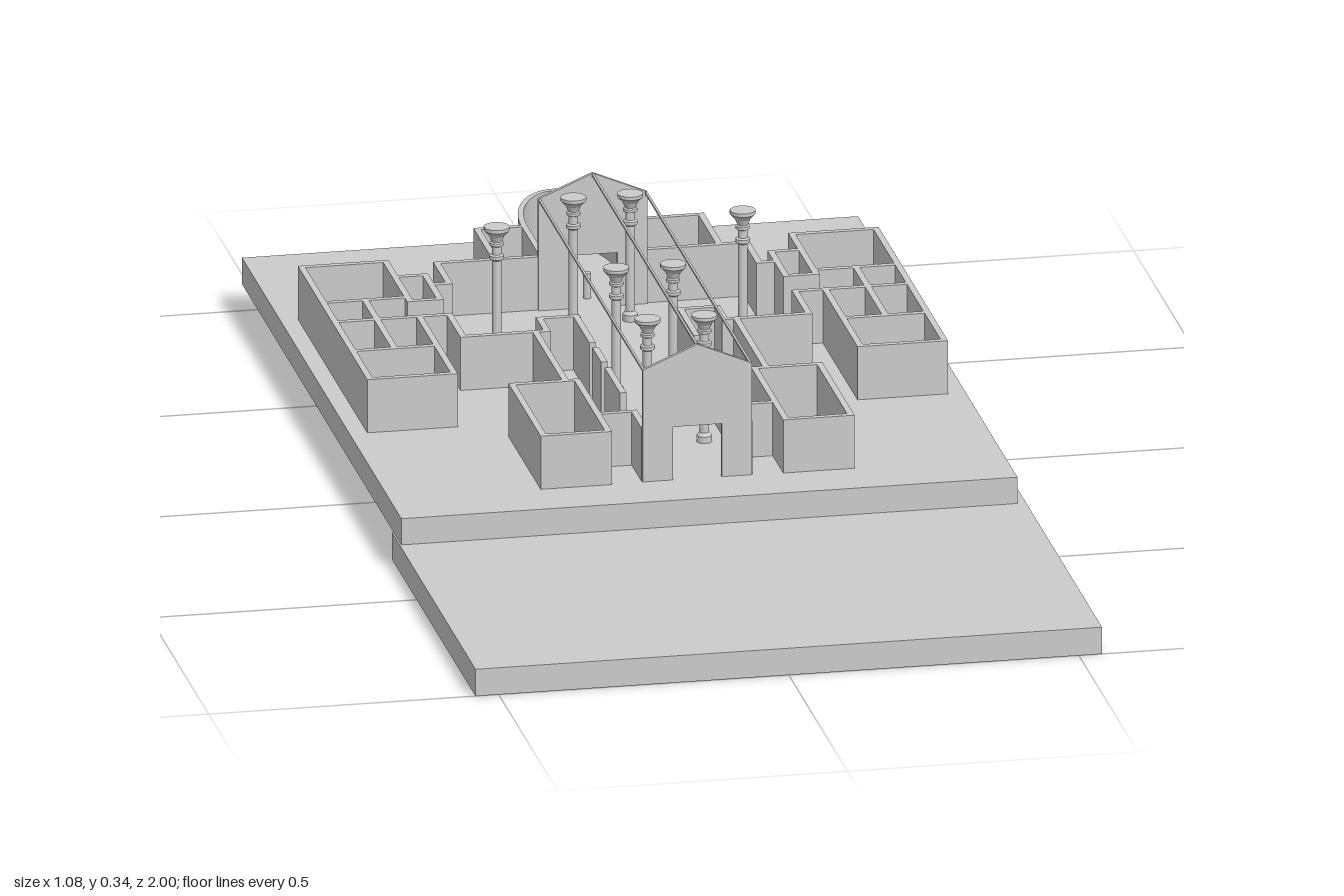
import * as THREE from 'three';

const FLOOR = 0.095, TOP = 0.19, T = 0.011, EAVES = 0.295, RIDGE = 0.335, NAVE = 0.09;
const FRONT_Z = 0.25, BACK_Z = -0.642;

export function createModel() {
  const mat = new THREE.MeshStandardMaterial({ color: 0xcccccc, side: THREE.DoubleSide });
  const model = new THREE.Group();
  const plan = new THREE.Group();
  plan.name = 'building';
  plan.position.x = -0.006;
  model.add(plan);

  const add = (parent, name, geo, x = 0, y = 0, z = 0) => {
    const m = new THREE.Mesh(geo, mat);
    m.name = name;
    m.position.set(x, y, z);
    parent.add(m);
    return m;
  };
  const box = (parent, name, x0, x1, y0, y1, z0, z1) =>
    add(parent, name, new THREE.BoxGeometry(x1 - x0, y1 - y0, z1 - z0), (x0 + x1) / 2, (y0 + y1) / 2, (z0 + z1) / 2);

  // Axis-aligned wall run through [x, z] points
  const wall = (name, pts, s = 1) => {
    for (let i = 0; i + 1 < pts.length; i++) {
      const [ax, az] = pts[i], [bx, bz] = pts[i + 1], h = T / 2;
      box(plan, name, Math.min(ax * s, bx * s) - h, Math.max(ax * s, bx * s) + h, FLOOR, TOP,
        Math.min(az, bz) - h, Math.max(az, bz) + h);
    }
  };

  // Stepped ground slabs
  box(model, 'lowerTerrace', -0.54, 0.54, 0, 0.048, 0.29, 1);
  box(model, 'upperTerrace', -0.537, 0.525, 0.048, FLOOR, -1, 0.355);

  // Walls shared by both sides
  for (const s of [1, -1]) {
    wall('wingOuterWall', [[0.35, -0.485], [0.35, -0.67], [0.495, -0.67], [0.495, -0.09], [0.35, -0.09], [0.35, -0.235]], s);
    for (const z of [-0.485, -0.385, -0.235]) wall('wingPartition', [[0.35, z], [0.495, z]], s);
    wall('wingPartition', [[0.423, -0.485], [0.423, -0.235]], s);
    wall('wingInnerWall', [[0.35, -0.59], [0.35, -0.465]], s);
    wall('wingInnerWall', [[0.35, -0.385], [0.35, -0.235]], s);
    wall('sideLobby', [[0.35, -0.59], [0.298, -0.59], [0.298, -0.465], [0.35, -0.465]], s);
    wall('transeptWall', [[0.298, -0.54], [0.267, -0.54], [0.267, -0.645], [0.085, -0.645]], s);
    wall('transeptFrontWall', [[0.35, -0.385], [0.298, -0.385], [0.298, -0.27], [0.153, -0.27],
      [0.153, -0.335], [0.09, -0.335]], s);
    wall('aisleWall', [[0.173, -0.27], [0.173, -0.015]], s);
    wall('frontRoom', [[0.153, -0.015], [0.265, -0.015], [0.265, 0.25], [0.153, 0.25], [0.153, -0.015]], s);
    wall('porchWall', [[0.153, 0.16], [NAVE, 0.16], [NAVE, FRONT_Z - 0.005]], s);
    // Broken nave walls with doorways between the pieces
    for (const [a, b] of [[-0.335, -0.2], [-0.165, -0.1], [-0.06, 0.06]])
      wall('naveWall', [[NAVE, a], [NAVE, b]], s);
  }
  wall('leftBackChamber', [[0.085, -0.8], [0.22, -0.8], [0.22, -0.645]]);
  wall('rightBackChamber', [[-0.085, -0.8], [-0.166, -0.8], [-0.166, -0.645]]);

  // Apse: straight sides closed by a half ellipse
  const apse = new THREE.Shape();
  const outline = (r, depth) => {
    const p = [[r, 0.645]];
    for (let i = 0; i <= 32; i++) {
      const a = Math.PI * i / 32;
      p.push([r * Math.cos(a), 0.795 + depth * Math.sin(a)]);
    }
    p.push([-r, 0.645]);
    return p.map(([x, y]) => new THREE.Vector2(x, y));
  };
  apse.setFromPoints([...outline(0.09, 0.18), ...outline(0.08, 0.17).reverse()]);
  const apseGeo = new THREE.ExtrudeGeometry(apse, { depth: TOP - FLOOR, bevelEnabled: false });
  apseGeo.rotateX(-Math.PI / 2);
  add(plan, 'apse', apseGeo, 0, FLOOR, 0);
  add(plan, 'altarPost', new THREE.CylinderGeometry(0.007, 0.007, 0.045, 12), 0, FLOOR + 0.0225, -0.685);

  // Gable walls with a doorway at each end of the nave
  const gable = new THREE.Shape([[-0.094, FLOOR], [-0.042, FLOOR], [-0.042, TOP], [0.042, TOP], [0.042, FLOOR],
    [0.094, FLOOR], [0.094, EAVES], [0, RIDGE], [-0.094, EAVES]].map(([x, y]) => new THREE.Vector2(x, y)));
  const gableGeo = new THREE.ExtrudeGeometry(gable, { depth: 0.007, bevelEnabled: false });
  add(plan, 'frontGable', gableGeo, 0, 0, FRONT_Z - 0.004);
  add(plan, 'backGable', gableGeo, 0, 0, BACK_Z);

  // Thin roof beams joining the gables
  for (const [x, y] of [[0, RIDGE - 0.003], [0.092, EAVES - 0.002], [-0.092, EAVES - 0.002]])
    box(plan, 'roofBeam', x - 0.002, x + 0.002, y - 0.002, y + 0.002, BACK_Z, FRONT_Z);

  // Turned columns with collars and flared capitals
  const profile = [[0, 0], [0.013, 0], [0.013, 0.012], [0.008, 0.018], [0.008, 0.178], [0.0125, 0.181],
    [0.0125, 0.187], [0.008, 0.189], [0.008, 0.203], [0.012, 0.205], [0.012, 0.21], [0.009, 0.212],
    [0.013, 0.222], [0.022, 0.232], [0.022, 0.238], [0, 0.238]];
  const columnGeo = new THREE.LatheGeometry(profile.map(([r, y]) => new THREE.Vector2(r, y)), 20)
    .toNonIndexed();
  columnGeo.computeVertexNormals();
  const column = (name, x, z, top) =>
    add(plan, name, columnGeo, x, FLOOR, z).scale.y = (top - FLOOR) / 0.238;
  for (const s of [1, -1]) {
    for (const z of [-0.56, -0.195, 0.07]) column('naveColumn', s * 0.049, z, 0.322);
    column('transeptColumn', s * 0.212, -0.408, 0.333);
  }
  return model;
}
